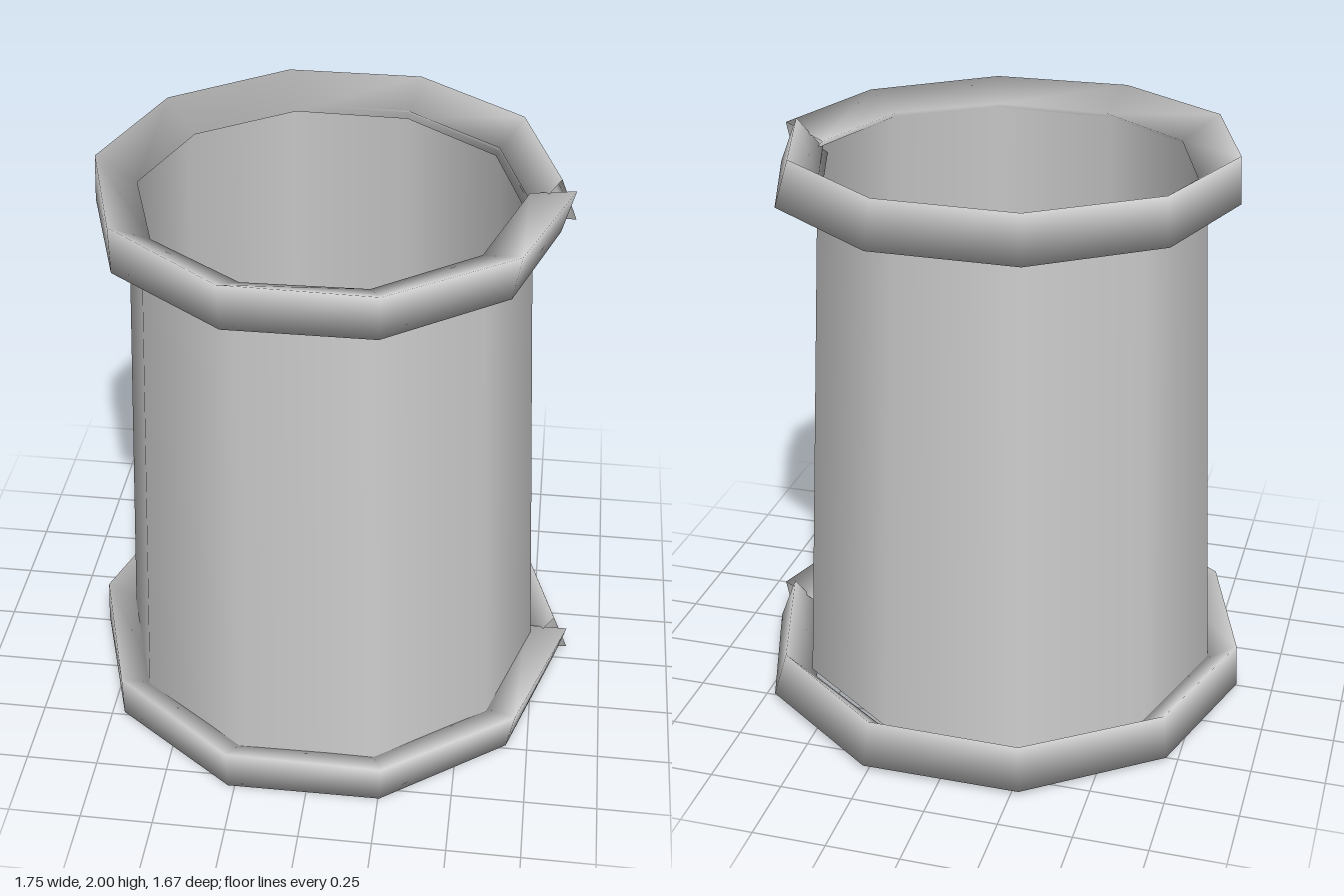
import * as THREE from 'three';

const material = new THREE.MeshStandardMaterial({ color: 0xcccccc, side: THREE.DoubleSide });
const SIDES = 10;

// Split ring: a three-sided bar swept round ten corners, rolling slowly as it goes
function splitRing(name, radius, x, y, z) {
  const bar = 0.0925, step = (2 * Math.PI) / SIDES;
  const positions = [], index = [];
  for (let i = 0; i <= SIDES; i++) {
    const a = i * step;
    // the two ends are cut square to their segment
    const cut = a + (i === 0 ? step / 2 : i === SIDES ? -step / 2 : 0);
    const roll = THREE.MathUtils.degToRad(-15 + (36 * i) / SIDES);
    for (let j = 0; j < 3; j++) {
      const phi = roll - Math.PI / 3 + (j * 2 * Math.PI) / 3;
      const out = bar * Math.cos(phi);
      positions.push(
        radius * Math.cos(a) + out * Math.cos(cut),
        bar * Math.sin(phi),
        radius * Math.sin(a) + out * Math.sin(cut)
      );
      if (i < SIDES) {
        const p = i * 3 + j, q = i * 3 + ((j + 1) % 3);
        index.push(p, q, p + 3, q, q + 3, p + 3);
      }
    }
  }
  const geometry = new THREE.BufferGeometry();
  geometry.setAttribute('position', new THREE.Float32BufferAttribute(positions, 3));
  geometry.setIndex(index);
  geometry.computeVertexNormals();
  const mesh = new THREE.Mesh(geometry, material);
  mesh.name = name;
  mesh.position.set(x, y, z);
  return mesh;
}

export function createModel() {
  const group = new THREE.Group();
  group.name = 'collaredSleeve';

  // Open tapered wall, corners on the x axis, leaning very slightly
  const wall = new THREE.CylinderGeometry(0.656, 0.75, 1.82, SIDES, 1, true, Math.PI / 2);
  const p = wall.attributes.position;
  for (let i = 0; i < p.count; i++) {
    const t = p.getY(i) / 1.82;
    p.setX(i, p.getX(i) - 0.015 - 0.01 * t);
    p.setZ(i, p.getZ(i) - 0.014 * t);
  }
  const sleeve = new THREE.Mesh(wall, material);
  sleeve.name = 'taperedWall';
  sleeve.position.y = 1;
  group.add(sleeve);

  // Rims
  group.add(splitRing('bottomRing', 0.815, -0.008, 0.09, -0.01));
  group.add(splitRing('topRing', 0.725, -0.015, 1.91, -0.01));
  return group;
}
